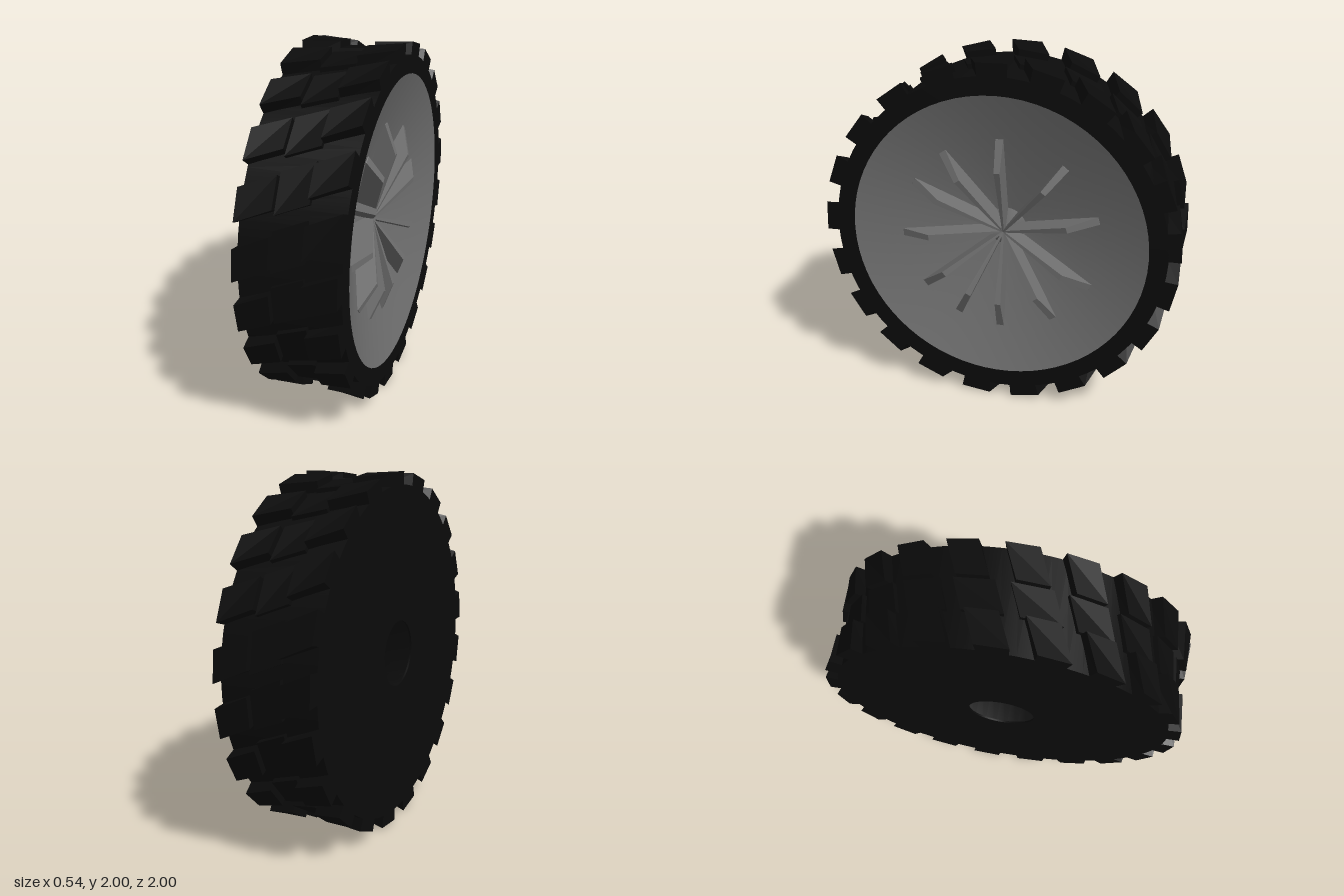
import * as THREE from 'three';
import { toCreasedNormals } from 'three/addons/utils/BufferGeometryUtils.js';

const rubber = new THREE.MeshStandardMaterial({ color: 0x0b0b0b });
const metal = new THREE.MeshStandardMaterial({ color: 0x6e6e6e });
metal.side = THREE.DoubleSide;

const HALF = 0.27; // half the wheel's width
const TEETH = 21;

function addMesh(parent, name, geometry, material) {
  const mesh = new THREE.Mesh(geometry, material);
  mesh.name = name;
  parent.add(mesh);
  return mesh;
}

// Turns a [radius, x] profile around the x axis
function turned(profile) {
  const points = profile.map(([r, x]) => new THREE.Vector2(r, x));
  const geometry = new THREE.LatheGeometry(points, 72).rotateZ(-Math.PI / 2);
  return toCreasedNormals(geometry, 0.5);
}

// Slanted tread block between x0 and x1, with outer radii r0 and r1
function treadBlock(x0, x1, r0, r1, width) {
  const geometry = new THREE.BoxGeometry(1, 1, 1);
  const p = geometry.attributes.position;
  for (let i = 0; i < p.count; i++) {
    const u = p.getX(i) + 0.5;
    const x = x0 + (x1 - x0) * u;
    const r = p.getY(i) > 0 ? r0 + (r1 - r0) * u : 0.9;
    const angle = p.getZ(i) * width - 0.45 * x;
    p.setXYZ(i, x, r * Math.cos(angle), r * Math.sin(angle));
  }
  const flat = geometry.toNonIndexed();
  flat.computeVertexNormals();
  return flat;
}

// Upright fin that widens outwards, ends in a sloping facet and pierces the dish
function spokeFin() {
  const shape = new THREE.Shape();
  shape.moveTo(0, -0.04);
  shape.lineTo(0.58, 0.15);
  shape.lineTo(0.57, 0.19);
  shape.lineTo(0.4, 0.25);
  shape.lineTo(0, 0.12);
  // Shape x is the radius, shape y is the wheel's x, thickness runs sideways
  const geometry = new THREE.ExtrudeGeometry(shape, { depth: 1, bevelEnabled: false });
  const p = geometry.attributes.position;
  for (let i = 0; i < p.count; i++) {
    const r = p.getX(i), x = p.getY(i), side = 0.5 - p.getZ(i);
    p.setXYZ(i, x, r, side * (0.01 + 0.058 * r));
  }
  geometry.computeVertexNormals();
  return geometry;
}

export function createModel() {
  const model = new THREE.Group();
  model.name = 'wheel';
  const wheel = new THREE.Group();
  wheel.name = 'wheelParts';
  wheel.position.y = 1;
  model.add(wheel);

  // Tyre body with its closed back wall and axle hole
  addMesh(wheel, 'tyreBody', turned([
    [0.185, -HALF], [0.93, -HALF], [0.93, HALF], [0.83, HALF],
    [0.82, 0.25], [0.82, -0.26], [0.185, -0.26], [0.185, -HALF],
  ]), rubber);

  // Three rows of tread blocks, the middle one lower
  const tread = new THREE.Group();
  tread.name = 'tread';
  wheel.add(tread);
  const rows = [
    ['treadBlockRight', treadBlock(-HALF, -0.085, 1, 0.99, 0.17)],
    ['treadBlockMiddle', treadBlock(-0.085, 0.085, 0.957, 0.957, 0.22)],
    ['treadBlockLeft', treadBlock(0.085, HALF, 0.99, 1, 0.17)],
  ];
  for (const [name, geometry] of rows) {
    for (let i = 0; i < TEETH; i++) {
      const block = addMesh(tread, name, geometry, rubber);
      block.rotation.x = 0.14 + (i * Math.PI * 2) / TEETH;
    }
  }

  // Hollow conical dish and the small hub cone in its middle
  addMesh(wheel, 'rimDish', turned([[0.83, HALF], [0, 0]]), metal);
  addMesh(wheel, 'hubCone', turned([[0.115, 0.037], [0, 0.085]]), metal);

  // Unevenly spaced fins, angles from the top towards the back
  const fin = spokeFin();
  for (const degrees of [0, 39, 73.5, 116, 147, 180, 206, 232, 266.5, 300, 326]) {
    const spoke = addMesh(wheel, 'spokeFin', fin, metal);
    spoke.rotation.x = -THREE.MathUtils.degToRad(degrees);
  }
  return model;
}
